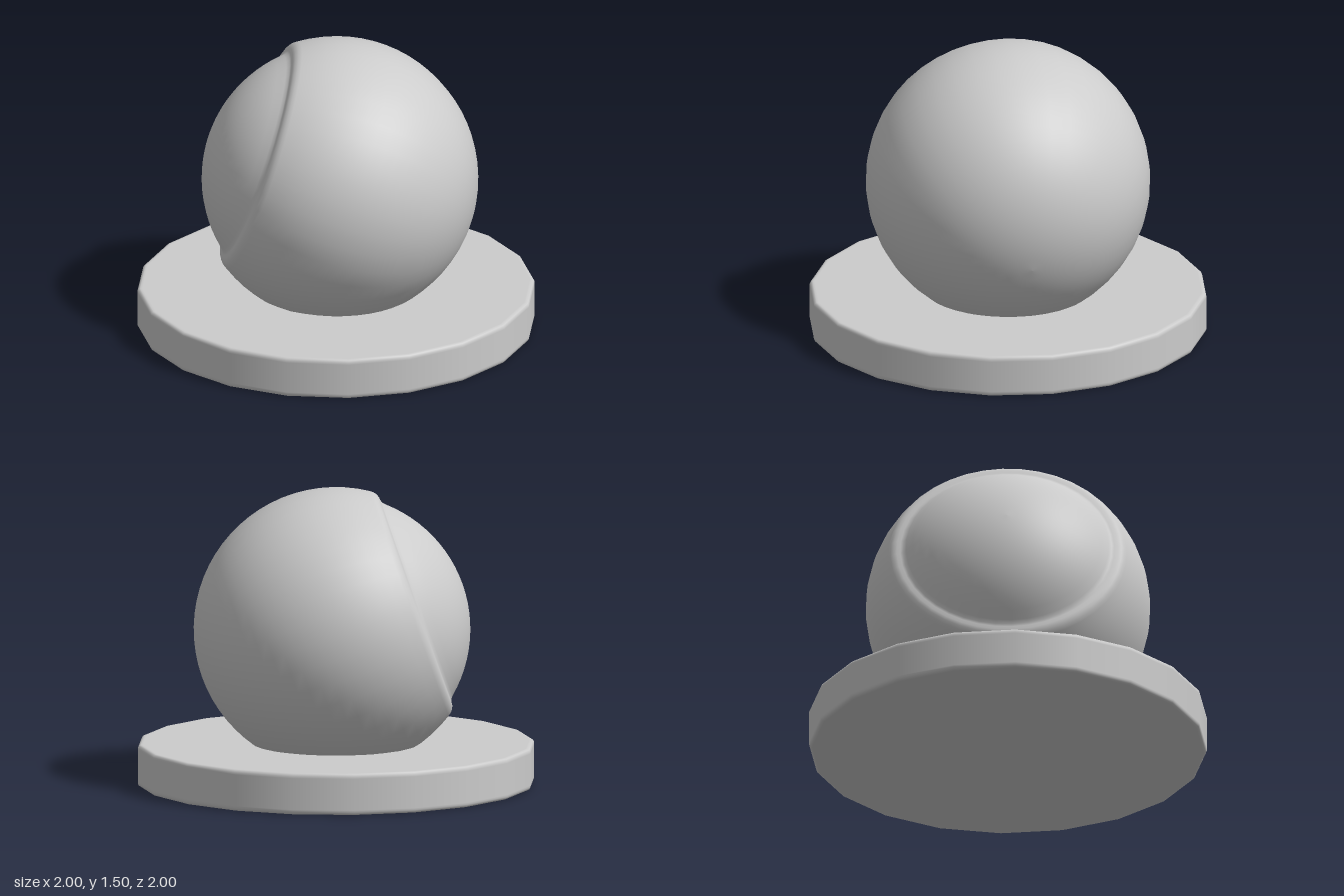
import * as THREE from 'three';

const material = new THREE.MeshStandardMaterial({ color: 0xcccccc });

function lathe(name, points, segments) {
  const profile = points.map(([r, y]) => new THREE.Vector2(r, y));
  const mesh = new THREE.Mesh(new THREE.LatheGeometry(profile, segments), material);
  mesh.name = name;
  return mesh;
}

// Profile point at a radius and an angle in degrees from the +y pole
function polar(radius, degrees) {
  const a = THREE.MathUtils.degToRad(degrees);
  return [Math.max(0, radius * Math.sin(a)), radius * Math.cos(a)];
}

// Profile points along a circular arc
function arc(radius, from, to, steps) {
  return Array.from({ length: steps + 1 }, (_, i) => polar(radius, from + (to - from) * i / steps));
}

export function createModel() {
  const group = new THREE.Group();

  // Disc base with a small bevel on both edges
  group.add(lathe('base', [
    [0, 0], [0.975, 0], [0.985, 0], [0.995, 0.004], [1, 0.015], [1, 0.025],
    [1, 0.185], [1, 0.195], [0.995, 0.206], [0.985, 0.21], [0.975, 0.21], [0, 0.21],
  ], 20));

  // Ball: outer shell, rounded rim, then a slightly smaller recessed cap
  const ball = lathe('ball', [
    ...arc(0.715, 180, 57, 24),
    polar(0.714, 55.5),
    polar(0.709, 54),
    polar(0.699, 52.7),
    polar(0.686, 51.7),
    polar(0.678, 50.7),
    ...arc(0.675, 49, 0, 12),
  ], 40);
  ball.position.y = 0.785;

  // Tilt the cap forward, up and to the model's right
  const axis = new THREE.Vector3(-0.59, 0.33, 0.74).normalize();
  ball.quaternion.setFromUnitVectors(new THREE.Vector3(0, 1, 0), axis);
  group.add(ball);

  return group;
}
